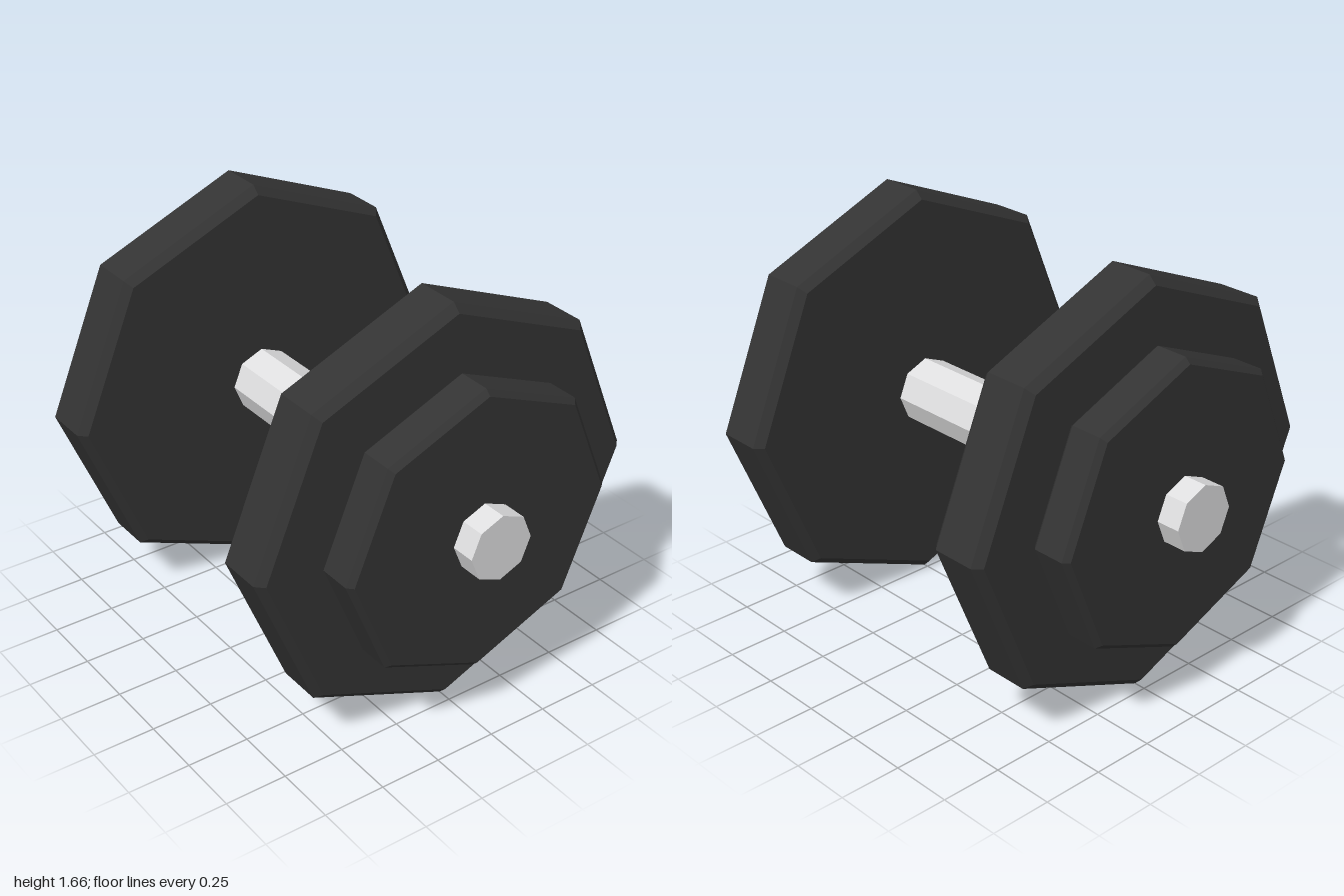
import * as THREE from 'three';

const AXIS_Y = 0.83;

// Bevelled octagonal disc running along x from x0 to x1, a corner pointing up
function octagon(name, x0, x1, radius, bevel, material) {
  const points = [
    [0, x0],
    [radius - bevel, x0],
    ...(bevel > 0 ? [[radius, x0 + bevel]] : []),
    ...(bevel > 0 ? [[radius, x1 - bevel]] : []),
    [radius - bevel, x1],
    [0, x1],
  ].map(([r, x]) => new THREE.Vector2(r, x));
  const geometry = new THREE.LatheGeometry(points, 8);
  geometry.rotateZ(-Math.PI / 2);
  const mesh = new THREE.Mesh(geometry, material);
  mesh.name = name;
  mesh.position.y = AXIS_Y;
  return mesh;
}

export function createModel() {
  const iron = new THREE.MeshStandardMaterial({ color: 0x333333, flatShading: true });
  iron.name = 'dark iron';
  const steel = new THREE.MeshStandardMaterial({ color: 0xdededf, flatShading: true });
  steel.name = 'light steel';

  const model = new THREE.Group();
  model.name = 'dumbbell';

  // Handle bar
  model.add(octagon('bar', -1, 1, 0.133, 0, steel));

  // Weight plates: a large inner and a small outer one on each end
  model.add(octagon('leftLargePlate', 0.486, 0.725, 0.828, 0.032, iron));
  model.add(octagon('leftSmallPlate', 0.73, 0.902, 0.58, 0.022, iron));
  model.add(octagon('rightLargePlate', -0.735, -0.496, 0.828, 0.032, iron));
  model.add(octagon('rightSmallPlate', -0.904, -0.732, 0.58, 0.022, iron));

  return model;
}
